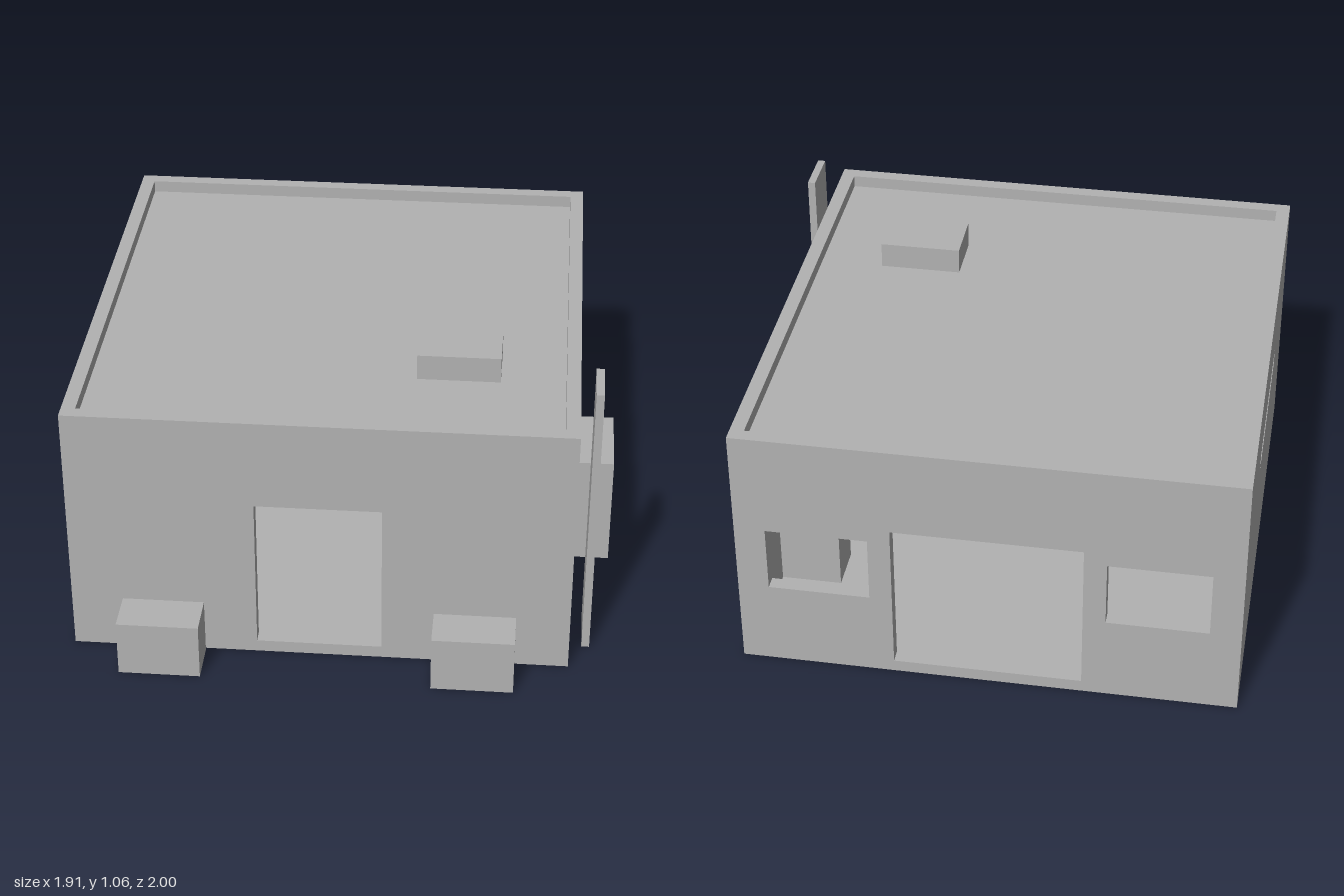
import * as THREE from 'three';

const X0 = -0.96, X1 = 0.81, Z0 = -1, Z1 = 0.835, H = 0.96, T = 0.05;

export function createModel() {
  const group = new THREE.Group();
  const grey = new THREE.MeshStandardMaterial({ color: 0xb2b2b2 });
  grey.name = 'concreteGrey';

  function add(name, geometry) {
    const mesh = new THREE.Mesh(geometry, grey);
    mesh.name = name;
    group.add(mesh);
    return mesh;
  }

  // Box given by its limits on each axis
  function block(name, [xa, xb], [ya, yb], [za, zb]) {
    add(name, new THREE.BoxGeometry(xb - xa, yb - ya, zb - za))
      .position.set((xa + xb) / 2, (ya + yb) / 2, (za + zb) / 2);
  }

  function rectangle(path, [a, b, c, d]) {
    path.moveTo(a, c);
    path.lineTo(b, c);
    path.lineTo(b, d);
    path.lineTo(a, d);
    path.closePath();
    return path;
  }

  // Wall panel with openings, each given as [uMin, uMax, yMin, yMax]
  function wall(name, u0, u1, openings) {
    const shape = rectangle(new THREE.Shape(), [u0, u1, 0, H]);
    for (const o of openings) shape.holes.push(rectangle(new THREE.Path(), o));
    return add(name, new THREE.ExtrudeGeometry(shape, { depth: T, bevelEnabled: false }));
  }

  // Front wall with doorway, back wall with wide doorway and two windows
  wall('frontWall', X0, X1, [[-0.30, 0.145, 0.045, 0.625]]).position.z = Z1 - T;
  wall('backWall', X0, X1, [
    [-0.41, 0.26, 0.045, 0.625],
    [-0.85, -0.49, 0.325, 0.575],
    [0.34, 0.70, 0.325, 0.575],
  ]).position.z = Z0;

  // Side walls with a long slit window
  for (const [name, x] of [['leftWall', X1 - T], ['rightWall', X0]]) {
    const side = wall(name, -(Z1 - T), -(Z0 + T), [[-0.26, 0.42, 0.61, 0.67]]);
    side.rotation.y = Math.PI / 2;
    side.position.x = x;
  }

  // Floor and recessed roof
  const insideX = [X0 + T, X1 - T], insideZ = [Z0 + T, Z1 - T];
  block('floor', insideX, [0, 0.045], insideZ);
  block('roof', insideX, [0.865, 0.915], insideZ);
  block('roofUnit', [0.235, 0.53], [0.915, 1.01], [0.22, 0.42]);

  // Outdoor blocks
  block('planterRight', [-0.775, -0.485], [0, 0.21], [0.845, 1]);
  block('planterLeft', [0.33, 0.62], [0, 0.21], [0.845, 1]);
  block('sideCabinet', [0.82, 0.955], [0, 0.425], [-0.165, 0.16]);
  block('signPost', [0.857, 0.885], [0, 1.06], [0.54, 0.715]);

  // Indoor furniture
  block('rearRack', [0.54, 0.76], [0.045, 0.5], [-0.61, -0.44]);
  block('middleRack', [0.58, 0.76], [0.045, 0.5], [-0.30, -0.06]);
  block('counter', [-0.75, -0.37], [0.045, 0.30], [0.64, 0.75]);

  return group;
}
